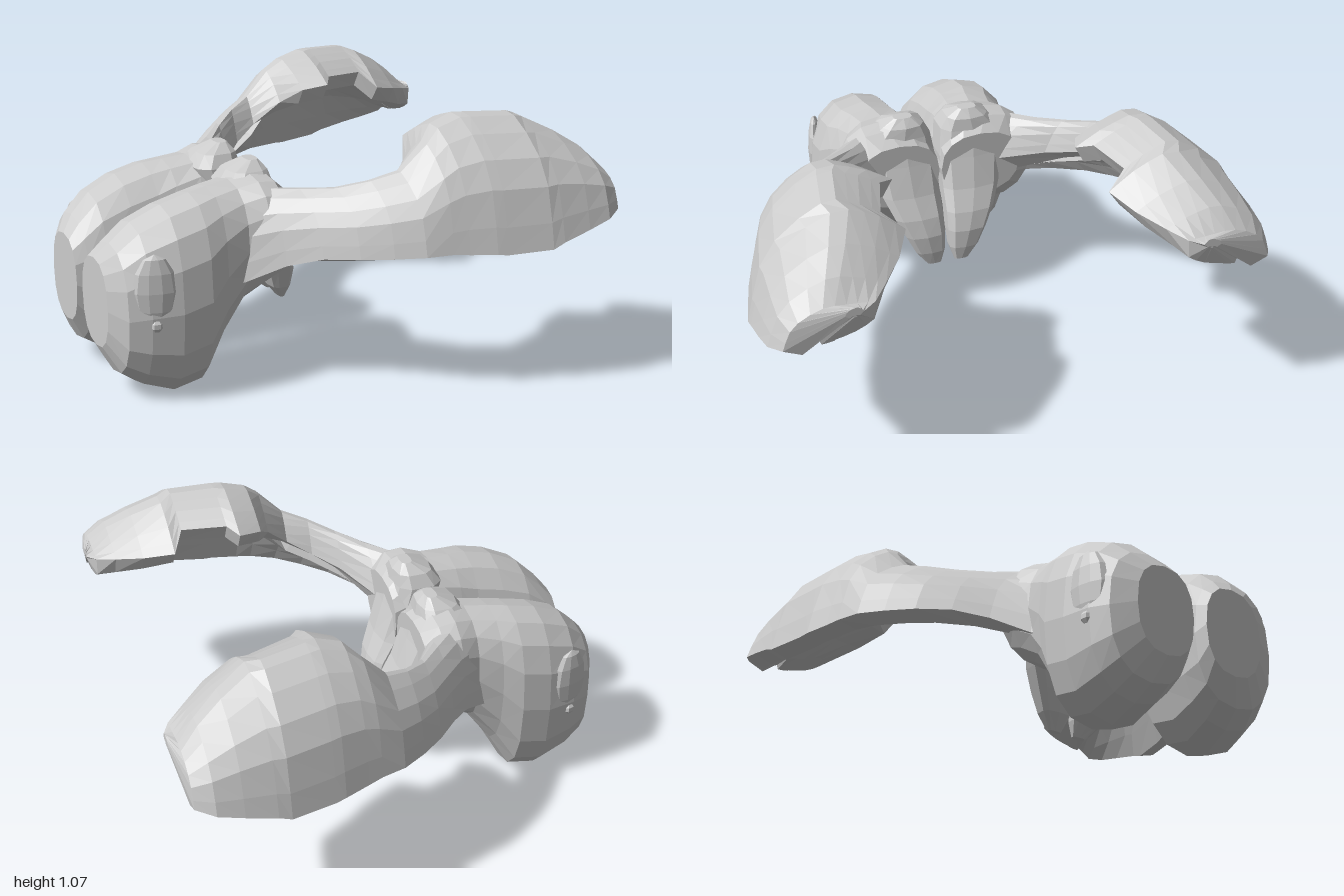
import * as THREE from 'three';

const material = new THREE.MeshStandardMaterial({ color: 0xcccccc, flatShading: true, side: THREE.DoubleSide });

// Flip the winding when the enclosed volume is negative, so faces look outward
function orient(geo) {
  const p = geo.attributes.position, idx = geo.index.array;
  const a = new THREE.Vector3(), b = new THREE.Vector3(), c = new THREE.Vector3();
  let volume = 0;
  for (let i = 0; i < idx.length; i += 3) {
    a.fromBufferAttribute(p, idx[i]);
    b.fromBufferAttribute(p, idx[i + 1]);
    c.fromBufferAttribute(p, idx[i + 2]);
    volume += a.dot(b.cross(c));
  }
  if (volume < 0) {
    for (let i = 0; i < idx.length; i += 3) [idx[i], idx[i + 1]] = [idx[i + 1], idx[i]];
  }
  geo.computeVertexNormals();
  return geo;
}

// Skin a row of closed rings (arrays of Vector3) and cap both ends
function loft(rings) {
  const n = rings[0].length, pos = [], idx = [];
  rings.forEach(r => r.forEach(v => pos.push(v.x, v.y, v.z)));
  for (let i = 0; i < rings.length - 1; i++) {
    for (let j = 0; j < n; j++) {
      const a = i * n + j, b = i * n + (j + 1) % n;
      idx.push(a, a + n, b, b, a + n, b + n);
    }
  }
  const cap = (r, start, flip) => {
    const mid = r.reduce((s, v) => s.add(v), new THREE.Vector3()).divideScalar(n);
    const k = pos.length / 3;
    pos.push(mid.x, mid.y, mid.z);
    for (let j = 0; j < n; j++) {
      const a = start + j, b = start + (j + 1) % n;
      flip ? idx.push(k, b, a) : idx.push(k, a, b);
    }
  };
  cap(rings[0], 0, false);
  cap(rings[rings.length - 1], (rings.length - 1) * n, true);
  const geo = new THREE.BufferGeometry();
  geo.setAttribute('position', new THREE.Float32BufferAttribute(pos, 3));
  geo.setIndex(idx);
  return orient(geo);
}

// Rounded-square ring: f(cos, sin) maps to a point
function ring(n, power, f) {
  const round = v => Math.sign(v) * Math.abs(v) ** power;
  return Array.from({ length: n }, (_, i) => {
    const a = (i / n) * Math.PI * 2;
    return f(round(Math.cos(a)), round(Math.sin(a)));
  });
}

const mid = (a, b, t) => (a + b) / 2 + t * (b - a) / 2;

// Rear lobe: x, bottom, top, inner z, outer z
function lobe() {
  const rows = [
    [-0.95, 0.2, 0.56, 0.03, 0.29], [-0.9, 0.1, 0.62, 0.015, 0.38],
    [-0.82, 0.045, 0.695, 0.01, 0.415], [-0.7, 0.0, 0.75, 0.01, 0.44],
    [-0.58, 0.025, 0.78, 0.01, 0.44], [-0.5, 0.17, 0.79, 0.01, 0.41],
    [-0.4, 0.31, 0.8, 0.005, 0.39], [-0.32, 0.365, 0.82, 0.005, 0.42],
    [-0.25, 0.4, 0.81, 0.005, 0.42], [-0.19, 0.47, 0.76, 0.005, 0.35],
  ];
  return loft(rows.map(([x, y0, y1, z0, z1]) =>
    ring(16, 0.83, (c, s) => new THREE.Vector3(x, mid(y0, y1, s), mid(z0, z1, c)))));
}

// Curved arm widening into a hollow paddle:
// x, inner edge (z, y), crest (z, y), outer edge (z, y), thickness
function armAndPaddle() {
  const rows = [
    [-0.52, 0.12, 0.5, 0.2, 0.71, 0.33, 0.4, 0.2],
    [-0.42, 0.1, 0.55, 0.24, 0.77, 0.39, 0.44, 0.24],
    [-0.3, 0.12, 0.59, 0.32, 0.78, 0.5, 0.52, 0.25],
    [-0.2, 0.24, 0.62, 0.42, 0.79, 0.61, 0.565, 0.23],
    [-0.1, 0.43, 0.67, 0.53, 0.81, 0.715, 0.58, 0.2],
    [0.0, 0.53, 0.71, 0.61, 0.845, 0.795, 0.59, 0.19],
    [0.1, 0.57, 0.77, 0.66, 0.88, 0.86, 0.6, 0.18],
    [0.2, 0.51, 0.87, 0.68, 0.98, 0.89, 0.605, 0.17],
    [0.26, 0.41, 0.94, 0.66, 1.03, 0.91, 0.6, 0.16],
    [0.36, 0.37, 0.96, 0.66, 1.06, 0.945, 0.595, 0.16],
    [0.4, 0.43, 0.98, 0.67, 1.06, 0.955, 0.59, 0.16],
    [0.58, 0.48, 0.97, 0.7, 1.05, 0.995, 0.595, 0.16],
    [0.63, 0.4, 0.91, 0.68, 1.035, 0.995, 0.615, 0.16],
    [0.75, 0.46, 0.88, 0.72, 0.975, 0.99, 0.645, 0.17],
    [0.85, 0.54, 0.85, 0.76, 0.91, 0.98, 0.67, 0.18],
    [0.92, 0.6, 0.83, 0.79, 0.84, 0.94, 0.69, 0.15],
    [0.95, 0.65, 0.82, 0.68, 0.84, 0.72, 0.81, 0.04],
  ];
  const steps = 10;
  return loft(rows.map(([x, zi, yi, zt, yt, zo, yo, t]) => {
    const curve = new THREE.SplineCurve([
      new THREE.Vector2(zi, yi),
      new THREE.Vector2(zi + (zt - zi) * 0.45, yi + (yt - yi) * 0.72),
      new THREE.Vector2(zt, yt),
      new THREE.Vector2(zt + (zo - zt) * 0.72, yt + (yo - yt) * 0.37),
      new THREE.Vector2(zo, yo),
    ]);
    const outside = [], inside = [];
    for (let i = 0; i <= steps; i++) {
      const u = i / steps, p = curve.getPoint(u), d = curve.getTangent(u);
      const w = t * (0.5 + 0.5 * Math.sin(Math.PI * u));
      outside.push(new THREE.Vector3(x, p.y, p.x));
      inside.unshift(new THREE.Vector3(x, p.y - d.x * w, p.x + d.y * w));
    }
    return outside.concat(inside);
  }));
}

// Upright plate by the midline with a hanging tail: y, x range, z range
function innerPlate() {
  const rows = [
    [0.22, -0.115, -0.09, 0.03, 0.09], [0.28, -0.165, -0.08, 0.01, 0.14],
    [0.36, -0.2, -0.08, 0.005, 0.18], [0.44, -0.23, -0.1, 0.005, 0.22],
    [0.53, -0.3, -0.14, 0.005, 0.26], [0.66, -0.38, -0.18, 0.005, 0.28],
    [0.77, -0.42, -0.21, 0.02, 0.28], [0.82, -0.38, -0.22, 0.05, 0.23],
    [0.855, -0.3, -0.25, 0.1, 0.18],
  ];
  return loft(rows.map(([y, x0, x1, z0, z1]) =>
    ring(10, 0.65, (c, s) => new THREE.Vector3(mid(x0, x1, c), y, mid(z0, z1, s)))));
}

// Low oval pad and small nub on the outer flank of the lobe
function flankPad() {
  return new THREE.SphereGeometry(1, 10, 6)
    .scale(0.085, 0.15, 0.03).rotateY(-0.3).translate(-0.8, 0.47, 0.395);
}
function flankNub() {
  return new THREE.SphereGeometry(0.03, 7, 5).translate(-0.8, 0.34, 0.4);
}

export function createModel() {
  const model = new THREE.Group();
  model.name = 'pairedLobesWithArms';
  const parts = { lobe, armAndPaddle, innerPlate, flankPad, flankNub };
  for (const side of [1, -1]) {
    const half = new THREE.Group();
    half.name = side > 0 ? 'frontHalf' : 'backHalf';
    for (const [name, build] of Object.entries(parts)) {
      const mesh = new THREE.Mesh(orient(build().scale(1, 1, side)), material);
      mesh.name = name;
      half.add(mesh);
    }
    model.add(half);
  }
  return model;
}
